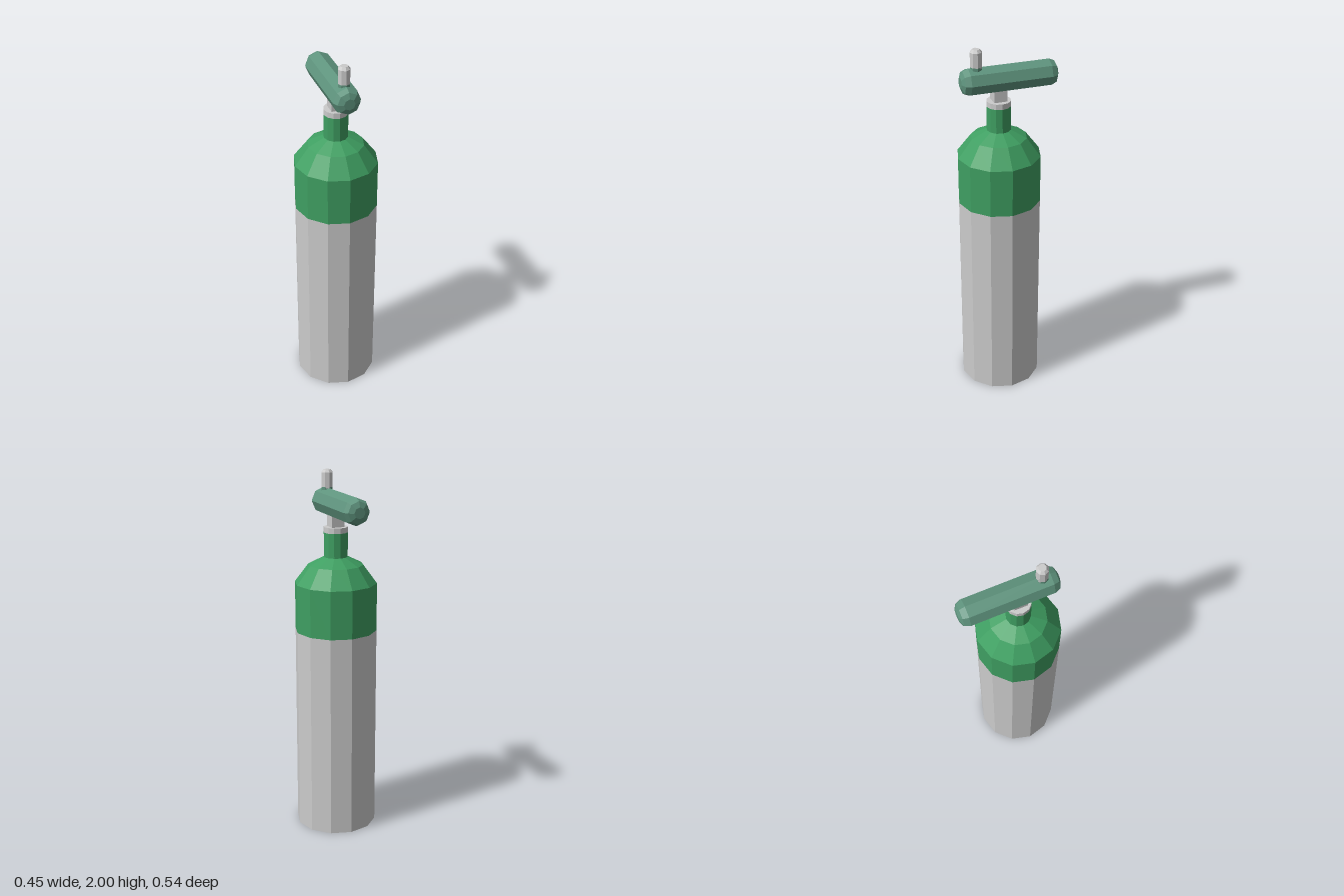
import * as THREE from 'three';

export function createModel() {
  const group = new THREE.Group();
  const material = (color) => new THREE.MeshStandardMaterial({ color, flatShading: true });
  const grey = material(0xcccccc);
  const green = material(0x3f9f62);
  const dullGreen = material(0x5f947e);
  const axisZ = 0.043;

  const add = (name, geometry, mat, y, z) => {
    const mesh = new THREE.Mesh(geometry, mat);
    mesh.name = name;
    mesh.position.set(0, y, z);
    group.add(mesh);
    return mesh;
  };
  const lathe = (points, sides) =>
    new THREE.LatheGeometry(points.map(([r, y]) => new THREE.Vector2(r, y)), sides);

  // Tank: grey body, green shoulder and neck
  add('tankBody', lathe([[0, 0], [0.225, 0], [0.225, 1.14]], 12), grey, 0, axisZ);
  add('tankShoulder', lathe([[0.225, 1.14], [0.225, 1.405], [0.15, 1.505], [0.065, 1.547]], 12), green, 0, axisZ);
  add('tankNeck', new THREE.CylinderGeometry(0.065, 0.065, 0.14, 12), green, 1.61, axisZ);

  // Valve collar and square stem
  add('neckCollar', new THREE.CylinderGeometry(0.065, 0.065, 0.03, 12), grey, 1.695, axisZ);
  add('valveStem', new THREE.BoxGeometry(0.07, 0.11, 0.07), grey, 1.76, axisZ);

  // Regulator bar with bevelled ends, lying front to back
  const bar = add('regulatorBar', lathe([
    [0, -0.26], [0.03, -0.26], [0.06, -0.247], [0.073, -0.217],
    [0.073, 0.217], [0.06, 0.247], [0.03, 0.26], [0, 0.26],
  ], 8), dullGreen, 1.829, -0.0125);
  bar.rotation.x = Math.PI / 2;

  // Upright outlet with a bevelled tip
  add('outletBase', new THREE.CylinderGeometry(0.032, 0.032, 0.055, 8), dullGreen, 1.88, 0.162);
  add('outlet', lathe([[0.032, 1.9], [0.032, 1.985], [0.02, 2], [0, 2]], 8), grey, 0, 0.162);

  return group;
}
